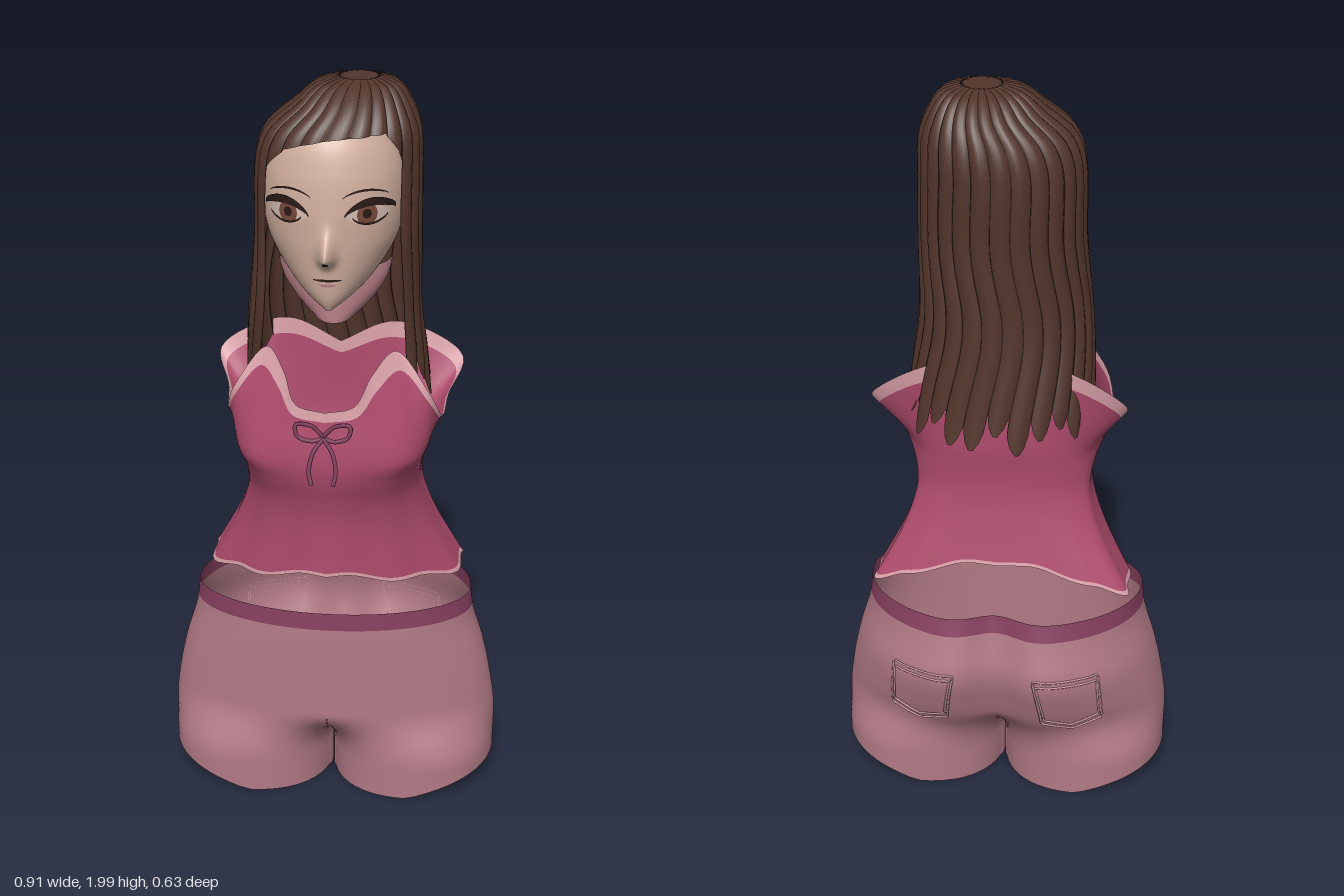
import * as THREE from 'three';

const V = (x, y, z) => new THREE.Vector3(x, y, z);
const mat = (name, color) => {
  const m = new THREE.MeshStandardMaterial({ color, side: THREE.DoubleSide });
  m.name = name;
  return m;
};
const range = (n, a = 0, b = 1) => Array.from({ length: n + 1 }, (_, i) => a + (b - a) * i / n);
const spow = (v, p) => Math.sign(v) * Math.abs(v) ** p;
const lerp = THREE.MathUtils.lerp;

// Smooth lookup in a table of rows whose first entry is a falling height
function sample(T, y) {
  let i = 0;
  while (i < T.length - 2 && y < T[i + 1][0]) i++;
  const a = T[i], b = T[i + 1], p = T[i - 1] || a, q = T[i + 2] || b, h = b[0] - a[0];
  const s = THREE.MathUtils.clamp((y - a[0]) / h, 0, 1), s2 = s * s, s3 = s2 * s;
  return a.map((v, k) => v * (2 * s3 - 3 * s2 + 1) + b[k] * (3 * s2 - 2 * s3)
    + (b[k] - p[k]) / (b[0] - p[0]) * h * (s3 - 2 * s2 + s)
    + (q[k] - a[k]) / (q[0] - a[0]) * h * (s3 - s2));
}

// Surface through fn(u, v); pick(column) chooses a material index
function loft(fn, us, vs, pick) {
  const pos = [], idx = [[], []], n = vs.length;
  us.forEach(u => vs.forEach(v => pos.push(...fn(u, v).toArray())));
  for (let i = 0; i < us.length - 1; i++) for (let j = 0; j < n - 1; j++) {
    const a = i * n + j, b = a + n;
    idx[pick ? pick(i) : 0].push(a, a + 1, b, b, a + 1, b + 1);
  }
  const g = new THREE.BufferGeometry();
  g.setAttribute('position', new THREE.Float32BufferAttribute(pos, 3));
  g.setIndex([...idx[0], ...idx[1]]);
  if (pick) {
    g.addGroup(0, idx[0].length, 0);
    g.addGroup(idx[0].length, idx[1].length, 1);
  }
  g.computeVertexNormals();
  return g;
}

// Head: height, half width, front z, side z
const FACE = [[1.93, .06, .1, .02], [1.88, .13, .158, .02], [1.8, .172, .186, .02], [1.7, .182, .196, .02],
  [1.62, .172, .192, .02], [1.56, .145, .187, .025], [1.5, .102, .18, .05], [1.46, .058, .172, .09], [1.43, .012, .158, .13]];
function facePoint(x, y, off = 0) {
  const [, w, zf, zb] = sample(FACE, y), c = Math.sqrt(Math.max(0, 1 - (x / w) ** 2));
  const dy = y - 1.585;
  const nose = .056 * Math.exp(-((x / .02) ** 2)) * Math.exp(-((dy / (dy > 0 ? .052 : .022)) ** 2));
  return V(x, y, zb + (zf - zb) * c + nose + off);
}

// Hair: height, centre x, half width, centre z, half depth
const HAIR = [[2, .06, .05, -.03, .05], [1.985, .055, .1, -.03, .105], [1.94, .045, .145, -.025, .165], [1.88, .022, .193, -.02, .202],
  [1.8, .01, .21, -.02, .214], [1.6, .008, .214, -.022, .212], [1.4, -.002, .224, -.036, .205], [1.25, .002, .238, -.055, .203], [1.1, .008, .246, -.078, .203]];
const hairPoint = (a, y, puff) => {
  const [, cx, rx, cz, rz] = sample(HAIR, y);
  const sway = a + .08 * Math.sin((2 - y) * 10 + 2) * Math.min(1, Math.max(0, (1.8 - y) * 3));
  const c = Math.cos(sway), p = c > 0 ? .9 : 1;
  return V(cx + (rx + puff) * spow(Math.sin(sway), p), y, cz + (rz + puff) * spow(c, p));
};

// Shirt: height, half width, front z, back z
const BODY = [[1.04, .265, .262, -.16], [.97, .243, .25, -.152], [.9, .236, .226, -.15], [.8, .262, .215, -.165],
  [.7, .31, .215, -.185], [.62, .355, .215, -.2]];
const NECK_EDGE = new THREE.CatmullRomCurve3([V(0, 1.185, .252), V(.075, 1.2, .24), V(.115, 1.26, .165), V(.172, 1.3, .085),
  V(.262, 1.18, .085), V(.292, 1.09, 0), V(.302, 1.12, -.08), V(.335, 1.195, -.17), V(.225, 1.27, -.18), V(.13, 1.29, -.165), V(0, 1.23, -.16)]);
const shirtColumns = new Map();
function shirtPoint(u, v) {
  if (!shirtColumns.has(u)) {
    const th = Math.abs(u) * Math.PI, s = Math.sin(th), c = Math.cos(th), sg = Math.sign(u) || 1;
    const hem = .62 + .075 * Math.max(0, c) ** 2 + .085 * Math.max(0, -c) ** 3 + .006 * Math.sin(th * 9);
    const pts = range(6).map(k => {
      const y = lerp(hem, 1.04, k), [, rx, zf, zb] = sample(BODY, y);
      const fold = 1 + .015 * Math.cos(th * 10) * (1 - k);
      const zc = lerp(-.1, -.03, k), p = c > 0 ? lerp(1, .72, k) : .7;
      return V(sg * rx * spow(s, p) * fold, y, zc + ((c > 0 ? zf - zc : zc - zb) * spow(c, p)) * fold);
    });
    const e = NECK_EDGE.getPoint(Math.abs(u));
    pts.push(V(sg * e.x, e.y, e.z));
    shirtColumns.set(u, new THREE.CatmullRomCurve3(pts));
  }
  return shirtColumns.get(u).getPoint(v);
}

// Shorts: height, half width, front z, back z
const HIPS = [[.575, .38, .205, -.29], [.5, .39, .21, -.31], [.4, .42, .21, -.33], [.3, .442, .21, -.3],
  [.2, .455, .212, -.255], [.1, .455, .215, -.24], [0, .445, .215, -.235]];
const legAngle = u => 165 * spow(1 - 2 * u, 1.6) * Math.PI / 180;
function shortsPoint(u, y, puff = 0) {
  const [, rx, zf, zb] = sample(HIPS, y), th = u * Math.PI;
  const hx = (rx + puff) * Math.sin(th), c = Math.cos(th);
  const cleft = c < 0 ? 1 - .2 * Math.exp(-((hx / .085) ** 2)) : 1;
  const hz = ((c > 0 ? zf : -zb) + puff) * c * cleft;
  const phi = legAngle(u), s = THREE.MathUtils.smoothstep(.26 - y, 0, .16);
  const lx = .228 + (.226 + puff) * spow(Math.cos(phi), .9), lz = -.008 + .222 * spow(Math.sin(phi), .9);
  return V(lerp(hx, lx, s), y, lerp(hz, lz, s));
}
const legHem = u => .01 + .07 * Math.max(0, Math.cos(legAngle(u))) ** .8;

export function createModel() {
  const root = new THREE.Group();
  const M = {
    hair: mat('hair brown', 0x52352b), dark: mat('dark line', 0x2a1a17), skin: mat('skin', 0xd2b09f),
    flush: mat('flushed skin', 0xb98088), white: mat('eye white', 0xd4bdb2), iris: mat('iris brown', 0x7a4a3c),
    shirt: mat('shirt rose', 0xb04c6d), trim: mat('trim pink', 0xdca3ab), shorts: mat('shorts mauve', 0xb27a86),
    plum: mat('plum', 0x86405f),
  };
  const add = (name, geo, m, parent = root) => {
    const mesh = new THREE.Mesh(geo, m);
    mesh.name = name;
    parent.add(mesh);
    return mesh;
  };
  const tube = (name, pts, r, m) => add(name, new THREE.TubeGeometry(new THREE.CatmullRomCurve3(pts), 40, r, 5), m);

  // Face and neck
  add('face', loft((s, y) => facePoint(sample(FACE, y)[1] * Math.sin(spow(s, 1.6) * Math.PI / 2), y),
    range(56, -1, 1), range(60, 1.91, 1.43)), M.skin);
  add('neck', loft((a, t) => V(.15 * (1 - .6 * t * t) * Math.sin(a), 1.53 - .15 * t - .02 * Math.cos(a), -.02 + .08 * Math.cos(a)),
    range(20, -1.57, 1.57), range(6)), M.flush);

  // Face details as thin strips laid on the face
  const strip = (name, x0, x1, lo, hi, off, m) => add(name,
    loft((u, v) => { const x = lerp(x0, x1, u); return facePoint(x, lerp(lo(u), hi(u), v), off); }, range(16), range(3)), m);
  const arch = (base, h) => u => base + h * Math.sin(Math.PI * u) ** .7;
  const disc = (name, cx, cy, r, off, m) => {
    const half = u => 1.1 * r * Math.sqrt(Math.max(0, 1 - (2 * u - 1) ** 2));
    strip(name, cx - r, cx + r, u => cy - half(u), u => cy + half(u), off, m);
  };
  for (const s of [1, -1]) {
    strip('eyeWhite', s * .05, s * .15, arch(1.69, -.022), arch(1.695, .026), .002, M.white);
    disc('iris', s * .1, 1.694, .025, .003, M.iris);
    disc('pupil', s * .1, 1.696, .011, .004, M.dark);
    strip('upperLash', s * .045, s * .166, u => arch(1.69, .022)(u) + .006 * u, u => arch(1.695, .035)(u) + .012 * u, .005, M.dark);
    strip('lowerLash', s * .065, s * .148, arch(1.684, -.018), arch(1.689, -.017), .004, M.dark);
    strip('eyebrow', s * .04, s * .15, arch(1.737, .016), arch(1.739, .02), .003, M.dark);
  }
  strip('mouth', -.036, .036, arch(1.519, -.003), arch(1.521, .002), .002, M.dark);
  strip('lowerLip', -.022, .022, arch(1.507, -.006), arch(1.508, .002), .002, M.flush);
  strip('noseShade', -.008, .008, arch(1.572, -.002), arch(1.578, .006), .002, M.dark);

  // Hair: rounded strands with dark grooves between them
  const cuts = [0, .03, .18, .4, .6, .82, .97];
  const hairSheet = (name, a0, a1, strands, endY) => {
    const us = range(strands).slice(0, -1).flatMap(u => cuts.map(c => u + c / strands)).concat(1);
    add(name, loft((u, v) => {
      const k = u * strands, f = k - Math.floor(k), bulge = u === 1 ? 0 : Math.sin(Math.PI * f) ** .7;
      const y = 2 - (2 - endY(u, Math.min(strands - 1, Math.floor(k)), bulge)) * v ** 1.7;
      return hairPoint(lerp(a0, a1, u), y, -.005 + .011 * bulge);
    }, us, range(44), i => (i % cuts.length === 0 || i % cuts.length === 6 ? 1 : 0)), [M.hair, M.dark]);
  };
  const EDGE = .95, fringe = [1.78, 1.85, 1.87, 1.885, 1.89, 1.895, 1.82];
  hairSheet('fringe', -EDGE, EDGE, 7, u => {
    const k = Math.min(u * 6, 5.999), i = Math.floor(k);
    return lerp(fringe[i], fringe[i + 1], k - i);
  });
  hairSheet('longHair', EDGE, 2 * Math.PI - EDGE, 18, (u, i, b) =>
    1.25 - .08 * Math.sin(Math.PI * u) + .03 * Math.sin(i * 2.3) - .06 * b);
  const crown = add('crown', new THREE.CircleGeometry(.066, 32), M.hair);
  crown.rotation.x = -Math.PI / 2;
  crown.position.set(.06, 1.997, -.03);

  // Shirt with pale bands along hem and neckline
  const around = range(120, -1, 1);
  add('shirt', loft(shirtPoint, around, range(36, .025, .975)), M.shirt);
  add('hemTrim', loft(shirtPoint, around, range(2, 0, .025)), M.trim);
  add('neckTrim', loft(shirtPoint, around, range(3, .975, 1)), M.trim);

  // Ribbon bow in front of the chest
  for (const s of [1, -1]) {
    tube('bowLoop', [V(0, 1.13, .275), V(s * .03, 1.16, .28), V(s * .07, 1.165, .288), V(s * .066, 1.135, .29), V(s * .03, 1.12, .285), V(0, 1.125, .275)], .006, M.plum);
    tube('bowTail', [V(0, 1.125, .278), V(s * .025, 1.09, .29), V(s * .035, 1.04, .3), V(s * .028, 1.005, .306)], .006, M.plum);
  }

  // Shorts: two mirrored halves, each with an inner leg wall, waistband and pocket
  for (const s of [1, -1]) {
    const half = new THREE.Group();
    half.name = s > 0 ? 'leftShorts' : 'rightShorts';
    half.scale.x = s;
    root.add(half);
    add('shortsPanel', loft((u, v) => shortsPoint(u, lerp(.528, legHem(u), v)), range(72), range(40)), M.shorts, half);
    add('waistband', loft((u, y) => shortsPoint(u, y), range(72), range(4, .577, .528)), M.plum, half);
    add('innerLeg', loft((w, y) => {
      const k = THREE.MathUtils.smoothstep(.26 - y, 0, .16);
      const p = shortsPoint(0, y).lerp(shortsPoint(1, y), w);
      p.x = Math.max(.001, p.x - .012 * k * Math.sin(Math.PI * w) ** .6);
      return p;
    }, range(16), range(16, .26, .01)), M.shorts, half);
    for (const d of [0, .016]) {
      const corners = [[.915 - d / 3, .42 - d], [.765 + d / 3, .42 - d], [.775 + d / 3, .27 + d], [.845, .238 + d], [.905 - d / 3, .262 + d]];
      const pts = corners.flatMap(([u, y], i) => {
        const [u2, y2] = corners[(i + 1) % 5];
        return range(6).slice(0, -1).map(t => shortsPoint(lerp(u, u2, t), lerp(y, y2, t), .003));
      });
      add('pocketStitch', new THREE.TubeGeometry(new THREE.CatmullRomCurve3(pts, true), 60, .0035, 4, true), M.trim, half);
    }
  }
  return root;
}
